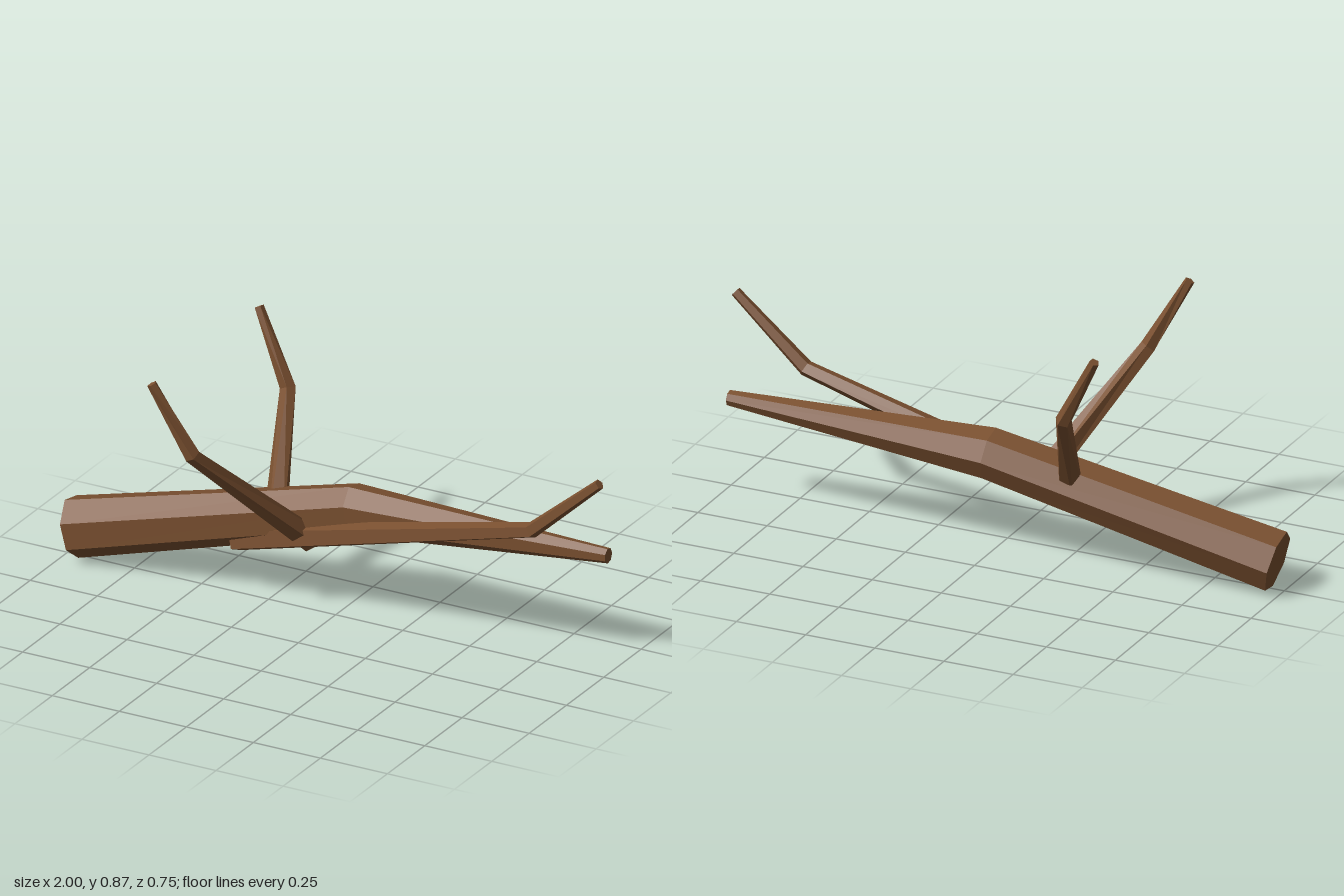
import * as THREE from 'three';

const bark = new THREE.MeshStandardMaterial({ color: 0x7a5030, flatShading: true });
bark.name = 'barkBrown';

// Tapered, bent limb: each station is [x, y, z, radius]; rings lie across the averaged direction.
function limb(name, stations, sides, phase) {
  const pts = stations.map(([x, y, z]) => new THREE.Vector3(x, y, z));
  const up = new THREE.Vector3(0, 1, 0);
  const last = pts.length - 1;
  const pos = [], index = [];
  const dir = (a, b) => pts[b].clone().sub(pts[a]).normalize();

  pts.forEach((p, i) => {
    const t = new THREE.Vector3();
    if (i > 0) t.add(dir(i - 1, i));
    if (i < last) t.add(dir(i, i + 1));
    t.normalize();
    const s = t.clone().cross(up).normalize();
    const n = s.clone().cross(t);
    for (let j = 0; j < sides; j++) {
      const a = phase + (j / sides) * Math.PI * 2;
      const v = p.clone()
        .addScaledVector(s, Math.cos(a) * stations[i][3])
        .addScaledVector(n, Math.sin(a) * stations[i][3]);
      pos.push(v.x, v.y, v.z);
    }
  });

  // Side faces
  for (let i = 0; i < last; i++) {
    for (let j = 0; j < sides; j++) {
      const k = (j + 1) % sides;
      const a = i * sides + j, b = i * sides + k;
      index.push(a, a + sides, b + sides, a, b + sides, b);
    }
  }
  // End caps
  const end = last * sides;
  for (let j = 1; j < sides - 1; j++) {
    index.push(0, j, j + 1, end, end + j + 1, end + j);
  }

  const geo = new THREE.BufferGeometry();
  geo.setAttribute('position', new THREE.Float32BufferAttribute(pos, 3));
  geo.setIndex(index);
  const flat = geo.toNonIndexed();
  flat.computeVertexNormals();
  const mesh = new THREE.Mesh(flat, bark);
  mesh.name = name;
  return mesh;
}

export function createModel() {
  const group = new THREE.Group();
  group.name = 'fallenBranch';
  const deg = Math.PI / 180;

  // Thick seven-sided main stem
  group.add(limb('mainStem', [
    [-0.975, 0.1, 0, 0.105],
    [0.012, 0.34, -0.105, 0.088],
    [0.945, 0.372, -0.13, 0.026],
  ], 7, Math.PI));

  // Long twig running beside the stem and turning up at its tip
  group.add(limb('longTwig', [
    [-0.39, 0.178, -0.033, 0.05],
    [0.73, 0.467, 0, 0.028],
    [0.985, 0.69, 0.002, 0.018],
  ], 5, 42 * deg));

  // Twig rising toward the front
  group.add(limb('frontTwig', [
    [-0.12, 0.22, -0.06, 0.045],
    [-0.355, 0.622, 0.322, 0.028],
    [-0.485, 0.865, 0.36, 0.017],
  ], 5, 42 * deg));

  // Twig rising toward the back
  group.add(limb('backTwig', [
    [-0.26, 0.23, -0.06, 0.042],
    [-0.355, 0.607, -0.32, 0.028],
    [-0.485, 0.855, -0.356, 0.017],
  ], 5, 42 * deg));

  return group;
}
